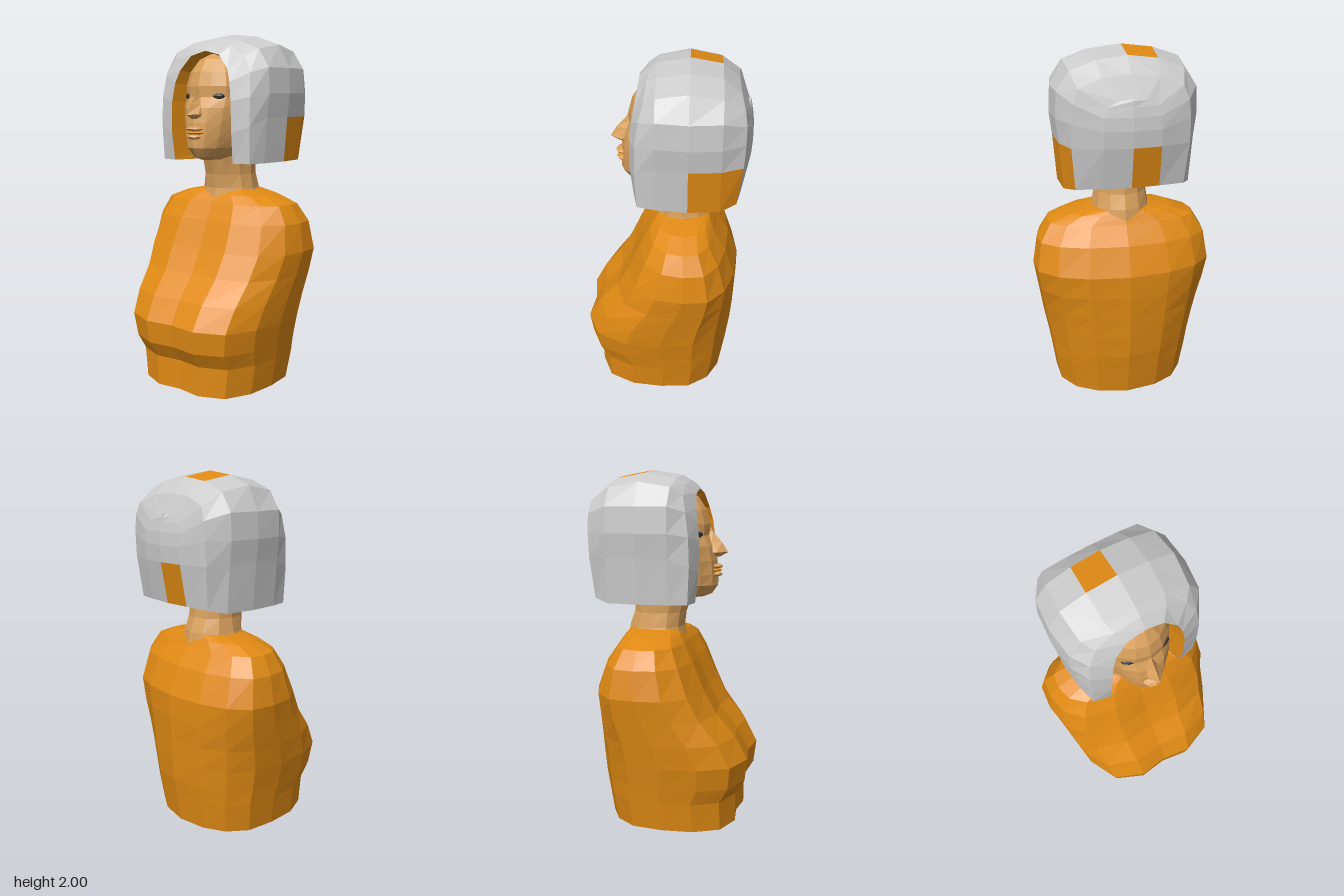
import * as THREE from 'three';

const mat = (color) => new THREE.MeshStandardMaterial({ color, flatShading: true, side: THREE.DoubleSide });

// Mesh from a flat list of corner points, three per triangle
function facets(name, pts, material) {
  const g = new THREE.BufferGeometry();
  g.setAttribute('position', new THREE.Float32BufferAttribute(pts.flat(), 3));
  g.computeVertexNormals();
  const m = new THREE.Mesh(g, material);
  m.name = name;
  return m;
}
const quad = (out, a, b, c, d) => out.push(a, b, c, a, c, d);

// Closed rings stacked upwards, capped at both ends
function loft(name, rings, material) {
  const out = [], n = rings[0].length;
  for (let r = 0; r < rings.length - 1; r++) {
    for (let i = 0; i < n; i++) {
      const j = (i + 1) % n;
      quad(out, rings[r][i], rings[r][j], rings[r + 1][j], rings[r + 1][i]);
    }
  }
  const low = rings[0], high = rings[rings.length - 1];
  for (let i = 1; i < n - 1; i++) {
    out.push(low[0], low[i + 1], low[i]);
    out.push(high[0], high[i], high[i + 1]);
  }
  return facets(name, out, material);
}

// Completes a half outline running from the +x side; centre points are kept once
const mirror = (half) => half.concat(
  half.filter((p) => Math.abs(p[0]) > 1e-6).reverse().map(([x, y, z]) => [-x, y, z]));

const ovalRing = (y, w, front, back, mid, n) => Array.from({ length: n }, (_, i) => {
  const a = (i / n) * Math.PI * 2, c = Math.cos(a);
  return [w * Math.sin(a), y, mid + c * (c > 0 ? front - mid : mid - back)];
});

function createTorso(material) {
  // share of half width, share of depth from back to front
  const plan = [[0, 0.975], [0.38, 1], [0.76, 0.92], [0.95, 0.73], [1, 0.5], [0.97, 0.28], [0.77, 0.13], [0.45, 0.04], [0, 0]];
  // height, half width, front, back
  const rows = [
    [0, 0.38, 0.4, -0.36], [0.17, 0.405, 0.4, -0.385], [0.26, 0.42, 0.455, -0.4],
    [0.39, 0.445, 0.47, -0.41], [0.52, 0.465, 0.4, -0.415], [0.65, 0.485, 0.29, -0.42],
    [0.78, 0.505, 0.22, -0.42], [0.94, 0.48, 0.15, -0.36], [1.04, 0.42, 0.095, -0.29],
    [1.085, 0.3, 0.06, -0.265], [1.11, 0.17, 0.03, -0.25],
  ];
  return loft('torso', rows.map(([y, w, f, b]) =>
    mirror(plan.map(([x, t]) => [x * w, y, b + t * (f - b)]))), material);
}

function createHead(skin, orange, dark) {
  const head = new THREE.Group();
  head.name = 'head';

  const neck = [[1.06, 0.18, 0.07, -0.28], [1.12, 0.162, 0.06, -0.27], [1.2, 0.148, 0.07, -0.24], [1.36, 0.15, 0.12, -0.22]];
  head.add(loft('neck', neck.map(([y, w, f, b]) => ovalRing(y, w, f, b, -0.09, 12)), skin));

  // height, half width, front
  const skull = [
    [1.29, 0.07, 0.17], [1.31, 0.11, 0.22], [1.36, 0.145, 0.255], [1.42, 0.167, 0.255],
    [1.5, 0.185, 0.25], [1.58, 0.198, 0.235], [1.64, 0.202, 0.205], [1.7, 0.202, 0.207],
    [1.78, 0.178, 0.185], [1.85, 0.12, 0.14], [1.88, 0.05, 0.08],
  ];
  head.add(loft('face', skull.map(([y, w, f]) => ovalRing(y, w, f, -0.2, -0.02, 16)), skin));

  const nose = [[1.52, 0.03, 0.265], [1.545, 0.042, 0.31], [1.6, 0.025, 0.275], [1.66, 0.016, 0.22], [1.71, 0.014, 0.2]];
  head.add(loft('nose', nose.map(([y, w, tip]) =>
    [[0, y, tip], [w, y, tip - 0.055], [w, y, 0.13], [-w, y, 0.13], [-w, y, tip - 0.055]]), skin));

  const blob = (name, material, x, y, z, sx, sy, sz) => {
    const m = new THREE.Mesh(new THREE.SphereGeometry(1, 8, 6), material);
    m.name = name;
    m.position.set(x, y, z);
    m.scale.set(sx, sy, sz);
    head.add(m);
    return m;
  };
  blob('upperLip', skin, 0, 1.466, 0.24, 0.055, 0.014, 0.043);
  blob('mouth', orange, 0, 1.445, 0.235, 0.06, 0.011, 0.04);
  blob('lowerLip', skin, 0, 1.422, 0.24, 0.045, 0.016, 0.04);
  for (const s of [-1, 1]) {
    blob('eye', dark, s * 0.1, 1.645, 0.163, 0.042, 0.018, 0.016).rotation.y = s * 0.4;
  }
  return head;
}

function createHair(grey, orange) {
  const hair = new THREE.Group();
  hair.name = 'hair';

  // Arches run from the +x bottom edge to the crown, then are mirrored
  const section = (w, top, z) => [
    [0.91 * w, 1.28, z], [0.96 * w, 1.53, z], [w, 1.66, z], [0.98 * w, 1.8, z],
    [0.8 * w, top - 0.07, z], [0.43 * w, top - 0.02, z], [0, top, z]];
  const rim = [
    [0.21, 1.28, 0.17], [0.215, 1.45, 0.19], [0.21, 1.62, 0.19], [0.195, 1.72, 0.18],
    [0.17, 1.79, 0.165], [0.1, 1.87, 0.15], [0, 1.895, 0.145]];
  const brow = [
    [0.31, 1.28, 0.15], [0.315, 1.48, 0.16], [0.315, 1.64, 0.155], [0.3, 1.77, 0.135],
    [0.25, 1.86, 0.11], [0.14, 1.92, 0.1], [0, 1.94, 0.095]];
  const backCorner = [
    [0.29, 1.3, -0.38], [0.31, 1.53, -0.405], [0.31, 1.66, -0.41], [0.3, 1.76, -0.41],
    [0.27, 1.83, -0.4], [0.15, 1.875, -0.385], [0, 1.89, -0.38]];
  const back = [
    [0.15, 1.305, -0.41], [0.15, 1.53, -0.45], [0.15, 1.62, -0.455], [0.15, 1.69, -0.45],
    [0.13, 1.74, -0.44], [0.07, 1.77, -0.435], [0, 1.78, -0.43]];
  const backSeam = back.map(([, y, z]) => [0, y, z - 0.012]);
  const inner = rim.map(([x, y]) => [0.72 * x, 1.28 + 0.96 * (y - 1.28), 0]);

  const both = (h) => h.concat(h.slice(0, -1).reverse().map(([x, y, z]) => [-x, y, z]));
  const halves = [rim, brow, section(0.37, 1.97, 0.05), section(0.39, 2, -0.12),
    section(0.375, 1.97, -0.29), backCorner, back, backSeam];
  const arches = halves.map(both);

  // Outer shell; a few panels take the under colour (row:column)
  const coloured = new Set(['3:6', '3:0', '4:0', '6:11']);
  const shell = [], panels = [];
  for (let r = 0; r < arches.length - 1; r++) {
    for (let i = 0; i < 12; i++) {
      quad(coloured.has(`${r}:${i}`) ? panels : shell,
        arches[r][i], arches[r + 1][i], arches[r + 1][i + 1], arches[r][i + 1]);
    }
  }
  hair.add(facets('hairShell', shell, grey), facets('hairPanels', panels, orange));

  // Lining around the face
  const lining = [], deep = both(inner);
  for (let i = 0; i < 12; i++) quad(lining, deep[i], arches[0][i], arches[0][i + 1], deep[i + 1]);
  hair.add(facets('hairLining', lining, orange));

  // Underside between the bottom edge and the neck
  const under = [];
  const edge = halves.map((h) => h[0]);
  const tuck = edge.map(([x, , z]) => [Math.min(x, 0.14), 1.31, Math.max(-0.2, Math.min(z, 0))]);
  for (let r = 0; r < edge.length - 1; r++) {
    for (const s of [1, -1]) {
      const c = [edge[r], tuck[r], tuck[r + 1], edge[r + 1]].map(([x, y, z]) => [s * x, y, z]);
      quad(under, ...(s > 0 ? c : c.reverse()));
    }
  }
  hair.add(facets('hairUnderside', under, grey));
  return hair;
}

export function createModel() {
  const orange = mat(0xe08a14), skin = mat(0xd9a05c), grey = mat(0xcccccc), dark = mat(0x333333);
  const model = new THREE.Group();
  model.name = 'bust';
  model.add(createTorso(orange), createHead(skin, orange, dark), createHair(grey, orange));
  return model;
}
